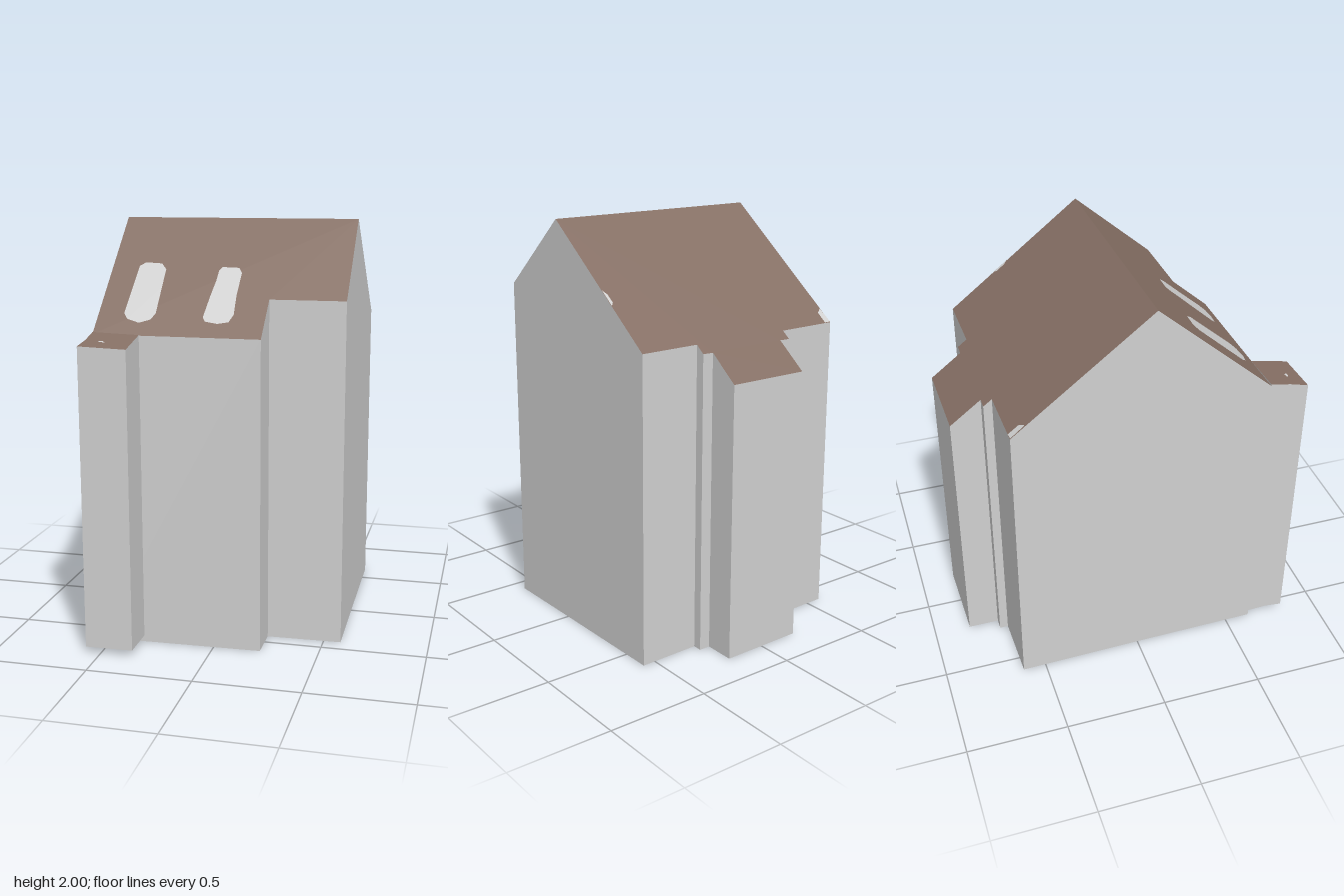
import * as THREE from 'three';

const wallMat = new THREE.MeshStandardMaterial({ color: 0xd0d0d0 });
wallMat.name = 'pale grey wall';
const roofMat = new THREE.MeshStandardMaterial({ color: 0x856f64 });
roofMat.name = 'brown roof';

// Roof planes: the ridge runs slightly askew across x
const ridgeZ = x => 0.0415 - 0.0289 * x;
const frontRoof = (x, z) => 2 - 0.89 * (z - ridgeZ(x));
const backRoof = (x, z) => 2 - 0.776 * (ridgeZ(x) - z);
const annexRoof = (x, z) => 1.5 - 0.21 * (z - 0.63) - 0.04 * (x + 0.57);

function makeMesh(name, positions, material) {
  const g = new THREE.BufferGeometry();
  g.setAttribute('position', new THREE.Float32BufferAttribute(positions, 3));
  g.computeVertexNormals();
  const mesh = new THREE.Mesh(g, material);
  mesh.name = name;
  return mesh;
}

// Outline of [x, z] points laid on a sloping plane, facing up or down
function surface(outline, height, down = false) {
  const contour = outline.map(([x, z]) => new THREE.Vector2(x, -z));
  if (THREE.ShapeUtils.isClockWise(contour)) contour.reverse();
  const out = [];
  for (const face of THREE.ShapeUtils.triangulateShape(contour, [])) {
    for (const i of down ? [...face].reverse() : face) {
      const { x, y } = contour[i];
      out.push(x, height(x, -y), -y);
    }
  }
  return out;
}

// Vertical walls around an outline, plus its underside
function walls(outline, base, height) {
  const out = surface(outline, () => base, true);
  outline.forEach(([ax, az], i) => {
    const [bx, bz] = outline[(i + 1) % outline.length];
    const ah = height(ax, az), bh = height(bx, bz);
    out.push(ax, base, az, bx, base, bz, bx, bh, bz);
    out.push(ax, base, az, bx, bh, bz, ax, ah, az);
  });
  return out;
}

export function createModel() {
  const model = new THREE.Group();
  model.name = 'house';

  // Stepped footprint, split at the ridge
  const ridgeLeft = [-0.572, ridgeZ(-0.572)], ridgeRight = [0.575, ridgeZ(0.575)];
  const front = [[-0.565, 0.63], [0.225, 0.61], [0.225, 0.43], [0.582, 0.42]];
  const back = [
    [0.565, -0.637], [0.26, -0.63], [0.26, -0.675], [0.205, -0.675], [0.205, -0.825],
    [-0.21, -0.818], [-0.21, -0.665], [-0.265, -0.665], [-0.265, -0.623], [-0.584, -0.615],
  ];
  const roofHeight = (x, z) => (z > ridgeZ(x) ? frontRoof(x, z) : backRoof(x, z));
  model.add(
    makeMesh('houseWalls', walls([...front, ridgeRight, ...back, ridgeLeft], 0, roofHeight), wallMat),
    makeMesh('frontRoof', surface([...front, ridgeRight, ridgeLeft], frontRoof), roofMat),
    makeMesh('backRoof', surface([ridgeRight, ...back, ridgeLeft], backRoof), roofMat),
  );

  // Narrow annex at the front, raised a little off the ground
  const annex = [[-0.57, 0.815], [-0.343, 0.81], [-0.343, 0.622], [-0.565, 0.628], [-0.561, 0.73]];
  model.add(
    makeMesh('annexWalls', walls(annex, 0.03, annexRoof), wallMat),
    makeMesh('annexRoof', surface(annex, annexRoof), roofMat),
  );

  // Skylights and pale worn spots lying just above the roof
  const patches = [
    ['leftSkylight', frontRoof, [[-0.443, 0.53], [-0.438, 0.36], [-0.437, 0.305], [-0.41, 0.286], [-0.33, 0.288],
      [-0.302, 0.315], [-0.298, 0.4], [-0.292, 0.525], [-0.31, 0.553], [-0.36, 0.57], [-0.42, 0.555]]],
    ['rightSkylight', frontRoof, [[-0.065, 0.53], [-0.055, 0.43], [-0.045, 0.36], [-0.043, 0.31], [-0.03, 0.292],
      [0.05, 0.292], [0.069, 0.315], [0.068, 0.42], [0.076, 0.51], [0.06, 0.545], [0.01, 0.555], [-0.05, 0.548]]],
    ['cornerSpot', backRoof, [[-0.583, -0.614], [-0.548, -0.616], [-0.548, -0.565], [-0.578, -0.545]]],
    ['edgeSpot', backRoof, [[0.569, -0.34], [0.554, -0.36], [0.553, -0.4], [0.568, -0.415]]],
    ['annexSpot', annexRoof, [[-0.498, 0.74], [-0.475, 0.735], [-0.463, 0.75], [-0.485, 0.752]]],
  ];
  for (const [name, plane, outline] of patches) {
    model.add(makeMesh(name, surface(outline, (x, z) => plane(x, z) + 0.003), wallMat));
  }
  return model;
}
